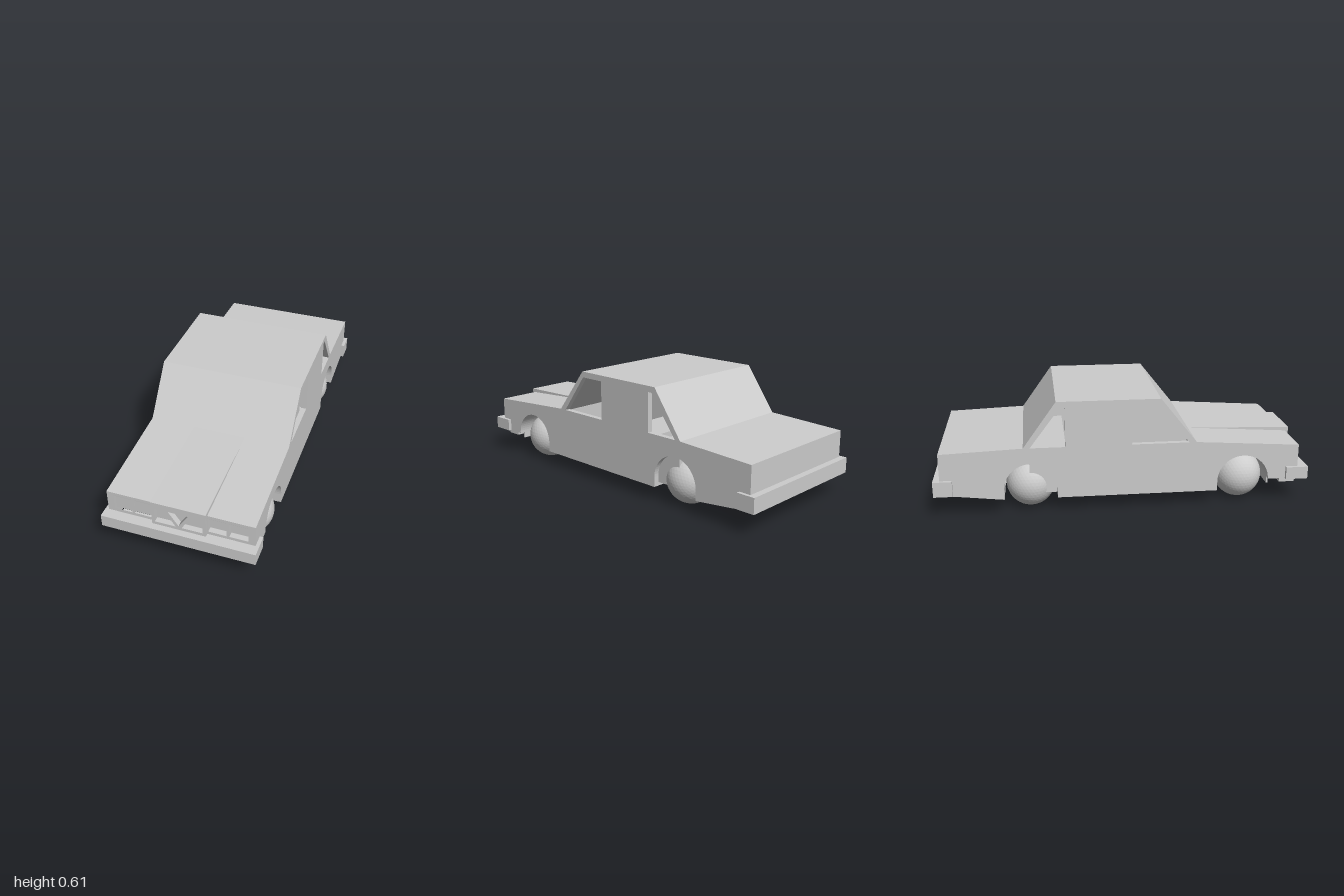
import * as THREE from 'three';

export function createModel() {
  const car = new THREE.Group();
  car.name = 'sedan';
  const paint = new THREE.MeshStandardMaterial({ color: 0xcccccc });
  paint.name = 'lightGrey';

  const add = (name, geometry) => {
    const mesh = new THREE.Mesh(geometry, paint);
    mesh.name = name;
    car.add(mesh);
    return mesh;
  };
  const box = (name, x0, x1, y0, y1, z0, z1) => add(name,
    new THREE.BoxGeometry(x1 - x0, y1 - y0, z1 - z0)
      .translate((x0 + x1) / 2, (y0 + y1) / 2, (z0 + z1) / 2));
  const poly = (pts) => new THREE.Shape(pts.map(([a, b]) => new THREE.Vector2(a, b)));

  // Extrudes a (z, y) side shape across x
  const across = (name, shape, x0, x1) => add(name,
    new THREE.ExtrudeGeometry(shape, { depth: x1 - x0, bevelEnabled: false, curveSegments: 16 })
      .rotateY(-Math.PI / 2).translate(x1, 0, 0));
  // Extrudes an (x, y) front shape along z
  const along = (name, shape, z0, z1) => add(name,
    new THREE.ExtrudeGeometry(shape, { depth: z1 - z0, bevelEnabled: false }).translate(0, 0, z0));

  const W = 0.385, IN = 0.355, AXLE = 0.135, ARCH = 0.14, WELL = 0.12;
  const axles = [['front', 0.645], ['rear', -0.495]];

  // Side panels with wheel arches and window openings
  const side = new THREE.Shape();
  side.moveTo(0.945, 0.325);
  side.lineTo(0.385, 0.362);
  side.lineTo(0.19, 0.607);
  side.lineTo(-0.355, 0.607);
  side.lineTo(-0.53, 0.362);
  side.lineTo(-0.965, 0.345);
  side.lineTo(-0.965, 0.118);
  side.lineTo(-0.495 - ARCH, 0.08);
  side.absarc(-0.495, AXLE, ARCH, Math.PI, 0, true);
  side.lineTo(-0.495 + ARCH, 0.08);
  side.lineTo(0.645 - ARCH, 0.08);
  side.absarc(0.645, AXLE, ARCH, Math.PI, 0, true);
  side.lineTo(0.945, AXLE);
  side.closePath();
  side.holes.push(
    poly([[0.345, 0.362], [0.04, 0.362], [0.04, 0.575], [0.185, 0.575]]),
    poly([[-0.31, 0.362], [-0.495, 0.362], [-0.335, 0.575], [-0.31, 0.575]]));
  across('leftSidePanel', side, IN, W);
  across('rightSidePanel', side, -W, -IN);

  // Skin between the sides, each slab thickened inward
  const skin = (name, z0, y0, z1, y1, t = 0.02) => {
    const l = Math.hypot(z1 - z0, y1 - y0);
    const nz = -(y1 - y0) / l * t, ny = (z1 - z0) / l * t;
    across(name, poly([[z0, y0], [z1, y1], [z1 + nz, y1 + ny], [z0 + nz, y0 + ny]]), -IN, IN);
  };
  skin('hood', 0.945, 0.325, 0.385, 0.362);
  skin('windshield', 0.385, 0.362, 0.19, 0.607);
  skin('roof', 0.19, 0.607, -0.355, 0.607);
  skin('rearWindow', -0.355, 0.607, -0.53, 0.362);
  skin('trunkLid', -0.53, 0.362, -0.965, 0.345);
  skin('tailPanel', -0.965, 0.345, -0.965, 0.118);
  skin('trunkFloor', -0.965, 0.118, -0.635, 0.08);
  skin('cabinFloor', -0.355, 0.08, 0.505, 0.08);
  skin('firewall', 0.505, 0.08, 0.505, 0.345);
  box('rearAxleCover', -WELL, WELL, 0.065, 0.1, -0.635, -0.355);

  // Raised centre of the hood
  across('hoodBulge', poly([[0.385, 0.362], [0.965, 0.345], [0.965, 0.322], [0.385, 0.345]]), -0.143, 0.143);

  // Nose: twin headlight openings on each side of the grille
  for (const s of [1, -1]) {
    const label = s > 0 ? 'left' : 'right';
    const rect = (a, b, c, d) => poly([[s * a, c], [s * b, c], [s * b, d], [s * a, d]]);
    const frame = rect(0.14, IN, 0.135, 0.325);
    frame.holes.push(rect(0.145, 0.24, 0.22, 0.308), rect(0.253, 0.35, 0.22, 0.308));
    along(label + 'HeadlightFrame', frame, 0.915, 0.945);
    along(label + 'HeadlightLenses', rect(0.14, IN, 0.2, 0.322), 0.905, 0.915);
  }
  const grille = poly([[-0.14, 0.135], [0.14, 0.135], [0.14, 0.325], [-0.14, 0.325]]);
  grille.holes.push(
    poly([[-0.125, 0.308], [-0.07, 0.308], [-0.015, 0.22], [-0.125, 0.22]]),
    poly([[0.125, 0.308], [0.07, 0.308], [0.015, 0.22], [0.125, 0.22]]),
    poly([[-0.052, 0.308], [0.052, 0.308], [0, 0.228]]));
  along('grille', grille, 0.935, 0.965);
  box('grilleBacking', -0.14, 0.14, 0.135, 0.325, 0.915, 0.935);

  // Bumpers with wrapped corners
  const bumper = (name, y0, y1, zIn, zOut, zWrap) => {
    box(name, -0.403, 0.403, y0, y1, Math.min(zIn, zOut), Math.max(zIn, zOut));
    for (const s of [1, -1])
      box(name + 'Corner', s > 0 ? W : -0.403, s > 0 ? 0.403 : -W, y0, y1,
        Math.min(zIn, zWrap), Math.max(zIn, zWrap));
  };
  bumper('frontBumper', 0.135, 0.203, 0.945, 1, 0.88);
  bumper('rearBumper', 0.117, 0.2, -0.965, -1, -0.9);

  // Front valance and underbody rails
  box('valance', -0.35, 0.35, 0.1, 0.136, 0.86, 0.945);
  box('frontCrossMember', -WELL, WELL, 0.12, 0.17, 0.61, 0.68);
  box('engineBeam', -0.04, 0.04, 0.12, 0.17, 0.5, 0.86);

  // Seats, below the window line
  box('frontSeat', -0.3, 0.3, 0.1, 0.27, -0.16, 0.08);
  box('rearSeat', -IN, IN, 0.1, 0.3, -0.5, -0.3);

  // Wheels and wheel wells
  for (const [end, z] of axles) {
    const liner = new THREE.Shape();
    liner.absarc(z, AXLE, ARCH + 0.01, 0, Math.PI, false);
    liner.lineTo(z - ARCH - 0.01, 0.1);
    liner.lineTo(z - ARCH, 0.1);
    liner.absarc(z, AXLE, ARCH, Math.PI, 0, true);
    liner.lineTo(z + ARCH, 0.1);
    liner.lineTo(z + ARCH + 0.01, 0.1);
    liner.closePath();
    const cap = new THREE.Shape();
    cap.absarc(z, AXLE, ARCH + 0.01, 0, Math.PI, false);
    cap.lineTo(z - ARCH - 0.01, 0.1);
    cap.lineTo(z + ARCH + 0.01, 0.1);
    cap.closePath();
    for (const s of [1, -1]) {
      across(end + 'WheelWell', liner, s > 0 ? WELL : -IN, s > 0 ? IN : -WELL);
      across(end + 'WellInnerWall', cap, s > 0 ? WELL - 0.01 : -WELL, s > 0 ? WELL : 0.01 - WELL);
      const ball = new THREE.IcosahedronGeometry(0.131, 7);
      ball.computeVertexNormals();
      add(end + 'Wheel', ball).position.set(s * 0.254, 0.131, z);
    }
  }
  return car;
}
